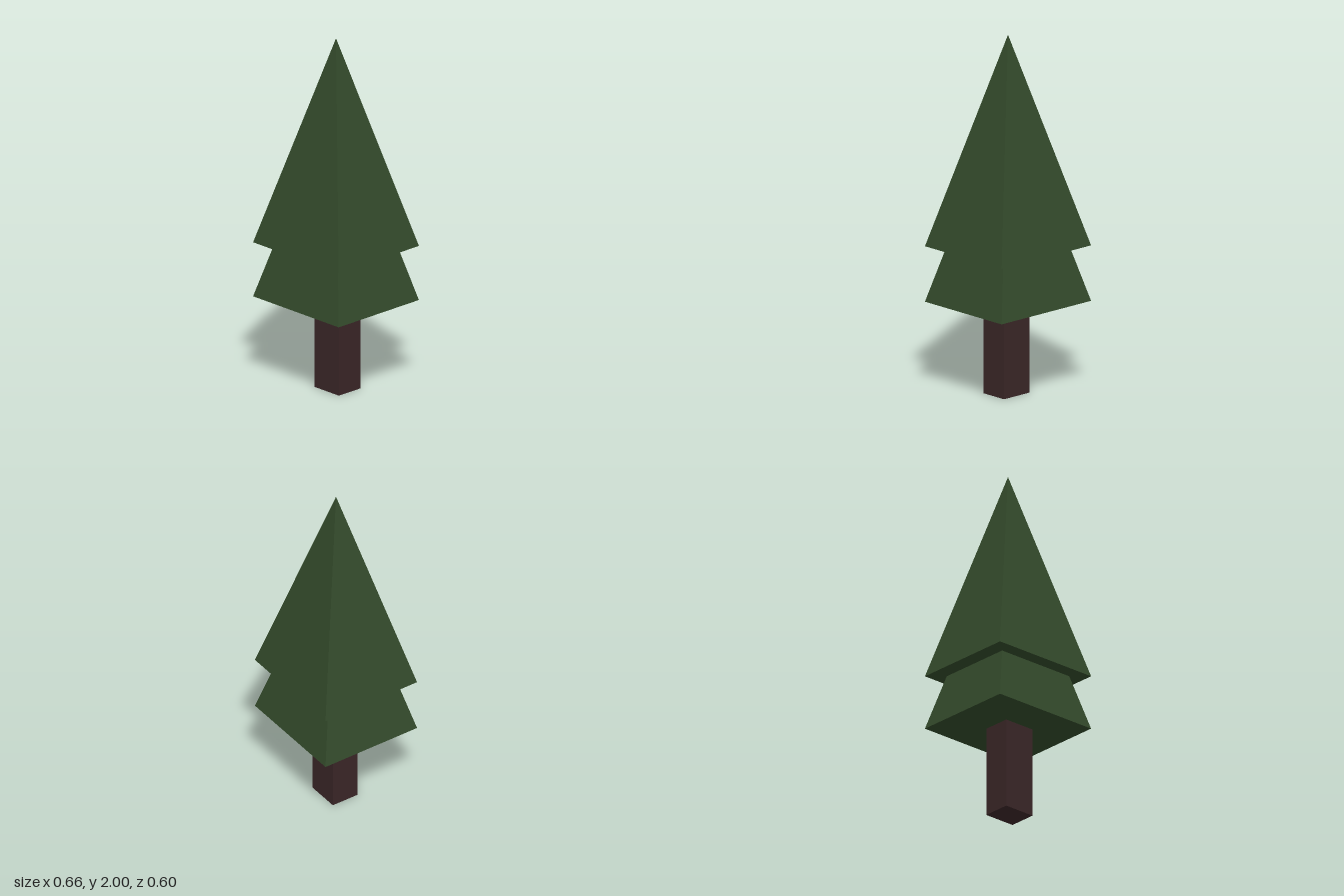
import * as THREE from 'three';

export function createModel() {
  const tree = new THREE.Group();
  tree.name = 'pineTree';

  const foliage = new THREE.MeshStandardMaterial({ color: 0x32492a, flatShading: true });
  foliage.name = 'dark green foliage';
  const bark = new THREE.MeshStandardMaterial({ color: 0x3a2627, flatShading: true });
  bark.name = 'dark brown bark';

  // Square trunk, slightly off centre
  const trunk = new THREE.Mesh(new THREE.BoxGeometry(0.19, 0.51, 0.16), bark);
  trunk.name = 'trunk';
  trunk.position.set(0.01, 0.255, 0);
  tree.add(trunk);

  // Two identical four-sided pyramids, the upper one overlapping the lower
  const height = 1.18;
  const pyramid = new THREE.ConeGeometry(Math.SQRT2, height, 4);
  pyramid.rotateY(Math.PI / 4);
  pyramid.scale(0.33, 1, 0.3);
  pyramid.translate(0, height / 2, 0);
  for (const [name, y] of [['lowerFoliage', 0.51], ['upperFoliage', 0.82]]) {
    const tier = new THREE.Mesh(pyramid, foliage);
    tier.name = name;
    tier.position.y = y;
    tree.add(tier);
  }

  return tree;
}
